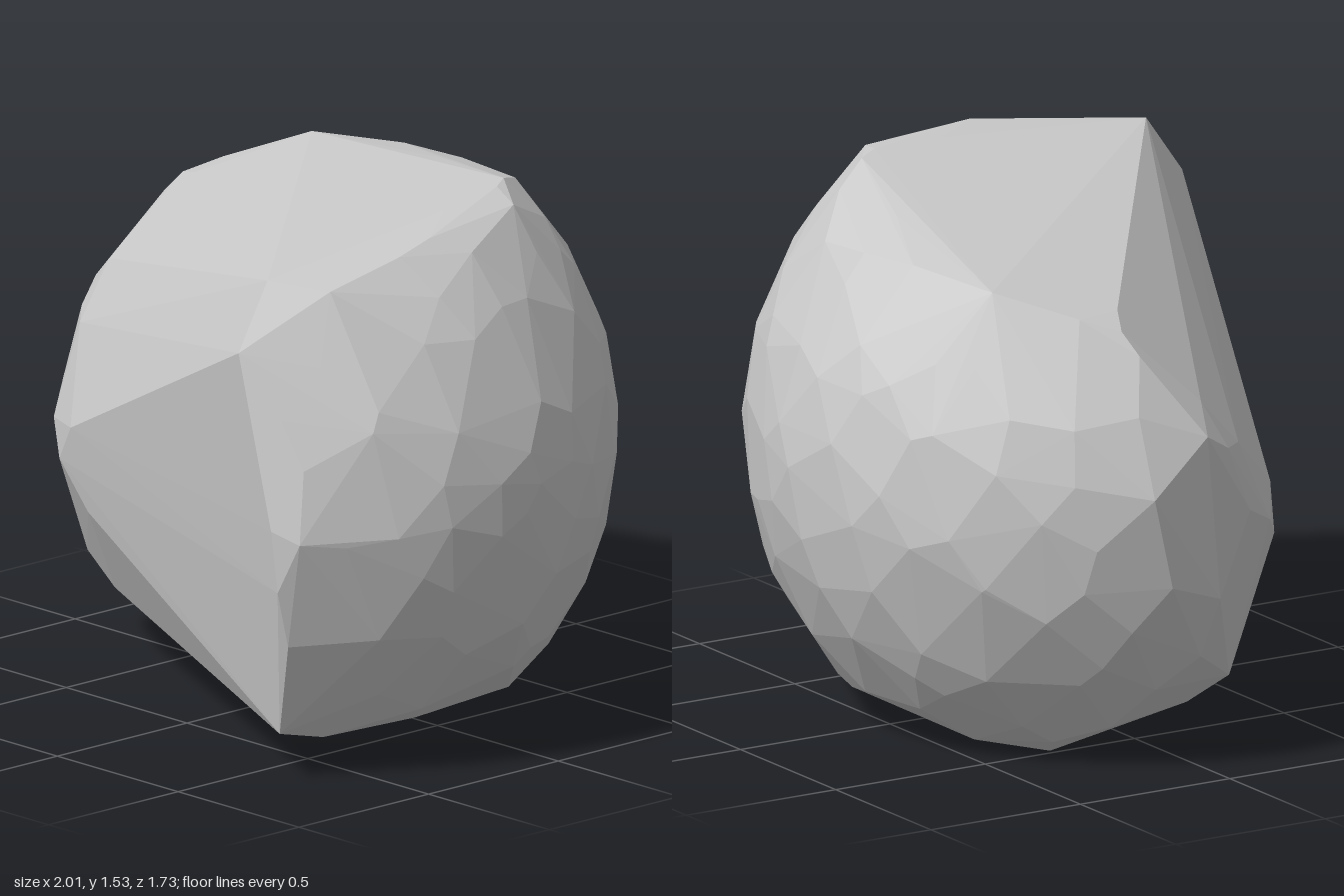
import * as THREE from 'three';
import { ConvexGeometry } from 'three/addons/geometries/ConvexGeometry.js';

const V = (x, y, z) => new THREE.Vector3(x, y, z);
const up = V(0, 1, 0);
const centre = V(0, 0.8, 0.107);

// Small seeded generator, returns -0.5..0.5
let seed = 7;
const rand = () => {
  seed = (seed * 16807) % 2147483647;
  return seed / 2147483647 - 0.5;
};

// Flat break through three points, facing away from the centre
function breakPlane(a, b, c) {
  const plane = new THREE.Plane().setFromCoplanarPoints(V(...a), V(...b), V(...c));
  return plane.distanceToPoint(centre) > 0 ? plane.negate() : plane;
}

export function createModel() {
  const breaks = [
    breakPlane([-0.76, 1.34, -0.35], [0.57, 1.46, 0.72], [0.43, 1.53, -0.32]),  // top
    breakPlane([-0.48, 0, -0.27], [0.65, 0.11, 0.58], [0.74, 0.13, 0.3]),       // underside
    breakPlane([-0.87, 1.24, -0.22], [0.57, 1.46, 0.72], [-0.84, 0.93, 0.13]),  // upper front
    breakPlane([0.6, 1.28, 0.86], [0.74, 0.57, 0.84], [-0.6, 0.65, 0.39]),      // front
    breakPlane([0.62, 0.14, 0.72], [-0.55, 0.48, 0.37], [-0.62, 0.21, 0.2]),    // lower front
    breakPlane([0.62, 0.14, 0.72], [-0.48, 0, -0.27], [-0.62, 0.21, 0.2]),      // front underside
    breakPlane([-0.82, 0, 0.25], [-0.82, 1, 0.25], [-0.97, 1, -0.04]),          // side
  ];

  // Main corners where the breaks meet
  const points = [
    // top rim
    [0.57, 1.46, 0.72], [-0.6, 1.41, -0.54], [-0.76, 1.34, -0.35], [0.43, 1.53, -0.32],
    [0.6, 1.51, -0.2], [0.75, 1.46, 0.1], [0.77, 1.41, 0.25], [0.7, 1.43, 0.6],
    // front rim
    [0.6, 1.28, 0.86], [0.81, 0.75, 0.82], [0.74, 0.6, 0.84], [0.73, 0.43, 0.79],
    [0.62, 0.14, 0.72], [-0.6, 0.72, 0.39], [-0.7, 0.6, 0.34], [-0.55, 0.48, 0.37],
    // right shoulder
    [-0.87, 1.24, -0.22], [-0.88, 1.08, -0.02], [-0.84, 0.93, 0.13], [-0.82, 0.68, 0.25],
    [-0.92, 0.75, 0.12], [-1, 0.85, -0.25], [1, 0.75, 0.12],
    // underside rim
    [-0.53, 0.27, 0.27], [-0.62, 0.21, 0.2], [-0.81, 0.22, -0.1], [-0.48, 0, -0.27],
    [0.65, 0.11, 0.58], [0.73, 0.13, 0.3],
  ].map((p) => V(...p));

  // Rounded body: uneven spread of points on a turned ellipsoid, trimmed by the breaks
  const count = 320;
  for (let i = 0; i < count; i++) {
    const y = 1 - (2 * (i + 0.5)) / count;
    const r = Math.sqrt(1 - y * y);
    const a = i * 2.39996;
    const dir = V(r * Math.cos(a) + rand() * 0.16, y + rand() * 0.16, r * Math.sin(a) + rand() * 0.16)
      .normalize()
      .multiply(V(1.055, y > 0 ? 0.96 : 1.01, 0.93))
      .applyAxisAngle(up, -0.65);
    let reach = 1;
    for (const plane of breaks) {
      const slope = plane.normal.dot(dir);
      if (slope > 0) reach = Math.min(reach, -plane.distanceToPoint(centre) / slope);
    }
    if (reach > 0.9) points.push(dir.multiplyScalar(reach).add(centre));
  }

  const rock = new THREE.Mesh(
    new ConvexGeometry(points),
    new THREE.MeshStandardMaterial({ color: 0xcccccc, flatShading: true })
  );
  rock.name = 'rock';

  const group = new THREE.Group();
  group.name = 'boulder';
  group.add(rock);
  return group;
}
